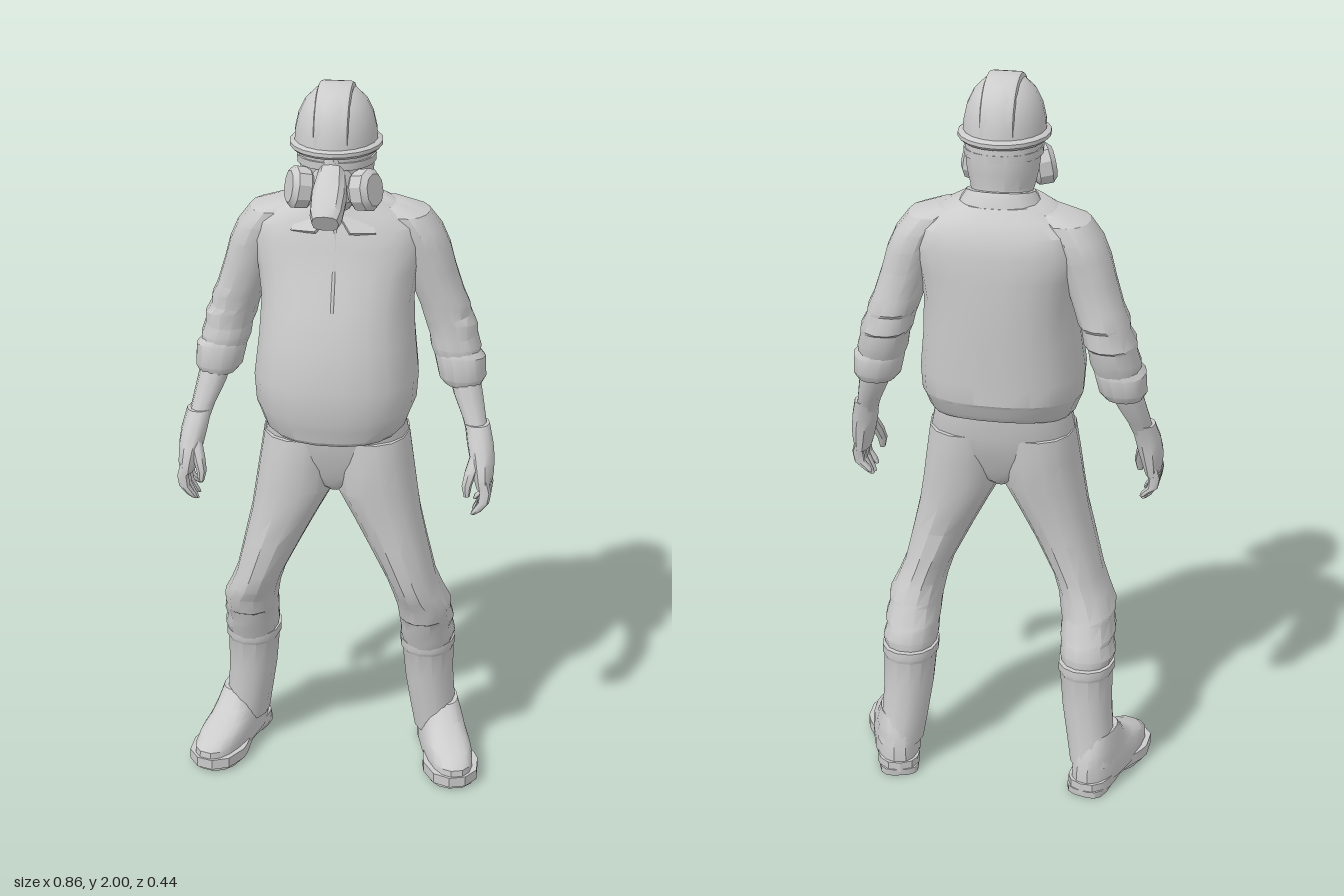
import * as THREE from 'three';
import { toCreasedNormals } from 'three/addons/utils/BufferGeometryUtils.js';

const grey = new THREE.MeshStandardMaterial({ color: 0xcccccc });
grey.name = 'plain grey';

// Closed skin over stacked rings [x, y, z, rx, rz, slope]; slope tips a ring along z.
function loft(rings, { n = 14, power = 2.2, side = 1, crease = 0.55 } = {}) {
  const list = rings[0][1] > rings[rings.length - 1][1] ? [...rings].reverse() : rings;
  const pos = [], idx = [];
  const bend = v => Math.sign(v) * Math.pow(Math.abs(v), 2 / power);
  for (const [x, y, z, rx, rz, slope = 0] of list) {
    for (let j = 0; j < n; j++) {
      const a = (j / n) * Math.PI * 2, dz = rz * bend(Math.sin(a));
      pos.push(side * x + rx * bend(Math.cos(a)), y + slope * dz, z + dz);
    }
  }
  for (let i = 0; i < list.length - 1; i++) {
    for (let j = 0; j < n; j++) {
      const k = (j + 1) % n, a = i * n + j, b = i * n + k;
      idx.push(a, a + n, b, b, a + n, b + n);
    }
  }
  // end caps
  const top = (list.length - 1) * n;
  for (let j = 1; j < n - 1; j++) {
    idx.push(0, j, j + 1);
    idx.push(top, top + j + 1, top + j);
  }
  const g = new THREE.BufferGeometry();
  g.setAttribute('position', new THREE.Float32BufferAttribute(pos, 3));
  g.setIndex(idx);
  return toCreasedNormals(g, crease);
}

function add(parent, name, geometry) {
  const m = new THREE.Mesh(geometry, grey);
  m.name = name;
  parent.add(m);
  return m;
}

function tube(points, radius, sides = 6) {
  const curve = new THREE.CatmullRomCurve3(points.map(p => new THREE.Vector3(...p)));
  return new THREE.TubeGeometry(curve, 6, radius, sides);
}

function buildHead(root) {
  const head = new THREE.Group();
  head.name = 'head';
  root.add(head);
  add(head, 'skull', loft([
    [0, 1.6, -0.05, 0.075, 0.07], [0, 1.69, -0.04, 0.078, 0.08], [0, 1.72, -0.02, 0.085, 0.095],
    [0, 1.76, -0.018, 0.094, 0.104], [0, 1.81, -0.015, 0.1, 0.108], [0, 1.86, -0.01, 0.1, 0.11]]));
  add(head, 'headStrap', loft([[0, 1.795, -0.012, 0.102, 0.11], [0, 1.815, -0.012, 0.103, 0.111]], { n: 18 }));

  // hard hat: dome, brim and raised crest
  add(head, 'helmetDome', loft([
    [0, 1.84, 0, 0.108, 0.125], [0, 1.88, 0, 0.106, 0.122], [0, 1.92, 0, 0.097, 0.112],
    [0, 1.955, 0, 0.08, 0.094], [0, 1.98, 0, 0.055, 0.066], [0, 1.994, 0, 0.025, 0.032]], { n: 20, power: 2 }));
  add(head, 'helmetBrim', loft([
    [0, 1.832, -0.003, 0.112, 0.128], [0, 1.84, -0.003, 0.12, 0.138], [0, 1.85, -0.003, 0.12, 0.138],
    [0, 1.856, -0.003, 0.108, 0.126]], { n: 20, power: 2 }));
  const crest = new THREE.Shape();
  crest.absellipse(0, 1.87, 0.106, 0.12, 0, Math.PI);
  const crestGeo = new THREE.ExtrudeGeometry(crest,
    { depth: 0.07, bevelSize: 0.01, bevelThickness: 0.01, bevelSegments: 2, curveSegments: 14 });
  crestGeo.rotateY(-Math.PI / 2);
  crestGeo.translate(0.035, 0, 0);
  add(head, 'helmetCrest', toCreasedNormals(crestGeo, 0.6));

  // respirator with a drooping snout and two side filters
  add(head, 'maskFace', loft([
    [0, 1.68, 0.045, 0.04, 0.03], [0, 1.71, 0.055, 0.062, 0.045],
    [0, 1.76, 0.055, 0.066, 0.052], [0, 1.8, 0.06, 0.04, 0.042], [0, 1.83, 0.07, 0.018, 0.03]]));
  const snout = add(head, 'maskSnout', loft([
    [0, 0, 0, 0.036, 0.05], [0, 0.07, 0, 0.045, 0.046], [0, 0.13, 0, 0.042, 0.036],
    [0, 0.155, 0, 0.034, 0.026]], { n: 12, power: 2.8 }));
  snout.position.set(0, 1.77, 0.075);
  snout.rotation.x = 2.1;
  for (const s of [1, -1]) {
    const filter = add(head, 'maskFilter', loft([
      [0, -0.03, 0, 0.04, 0.04], [0, -0.018, 0, 0.054, 0.05], [0, 0.016, 0, 0.056, 0.052],
      [0, 0.03, 0, 0.042, 0.04]], { n: 10 }));
    filter.position.set(s * 0.084, 1.74, 0.072);
    filter.rotation.set(0, -s * 0.4, -s * 1.4);
  }
}

function buildJacket(root) {
  const jacket = new THREE.Group();
  jacket.name = 'jacket';
  root.add(jacket);
  add(jacket, 'jacketBody', loft([
    [0, 1.075, -0.015, 0.182, 0.155, -0.18], [0, 1.09, -0.015, 0.195, 0.168, -0.18],
    [0, 1.12, -0.015, 0.206, 0.176, -0.15], [0, 1.14, -0.015, 0.215, 0.184, -0.1],
    [0, 1.21, -0.013, 0.22, 0.187], [0, 1.32, -0.025, 0.208, 0.182], [0, 1.42, -0.04, 0.203, 0.17],
    [0, 1.5, -0.055, 0.215, 0.155], [0, 1.57, -0.065, 0.232, 0.143], [0, 1.62, -0.066, 0.222, 0.132],
    [0, 1.655, -0.063, 0.175, 0.115], [0, 1.685, -0.055, 0.115, 0.098]], { n: 22, power: 2.4 }));
  add(jacket, 'collarStand', loft([
    [0, 1.65, -0.055, 0.125, 0.105, -0.15], [0, 1.69, -0.05, 0.1, 0.095, -0.2],
    [0, 1.705, -0.048, 0.09, 0.088, -0.2]]));
  add(jacket, 'placket', tube([[0.006, 1.63, 0.06], [0.006, 1.56, 0.074], [0.006, 1.5, 0.097], [0.006, 1.42, 0.127]], 0.005, 5));
  for (const s of [1, -1]) {
    // pointed collar flap
    const flap = new THREE.Shape([[0.015, 0.03], [0.09, 0.05], [0.112, -0.002], [0.045, -0.012]]
      .map(([x, y]) => new THREE.Vector2(s * x, y)));
    const m = add(jacket, 'collarFlap', new THREE.ExtrudeGeometry(flap, { depth: 0.012, bevelEnabled: false }));
    m.position.set(0, 1.632, 0.07);
    m.rotation.set(-0.75, s * 0.25, 0);

    // sleeve with elbow folds and a rolled cuff
    add(jacket, 'sleeve', loft([
      [0.13, 1.668, -0.067, 0.04, 0.06], [0.172, 1.645, -0.07, 0.066, 0.082],
      [0.205, 1.6, -0.074, 0.067, 0.09], [0.225, 1.55, -0.078, 0.069, 0.087],
      [0.243, 1.49, -0.08, 0.067, 0.081], [0.266, 1.42, -0.086, 0.066, 0.078],
      [0.28, 1.385, -0.09, 0.068, 0.08, 0.12], [0.286, 1.362, -0.09, 0.065, 0.075, -0.08],
      [0.298, 1.33, -0.092, 0.07, 0.078, 0.15], [0.304, 1.305, -0.09, 0.065, 0.071, -0.1],
      [0.312, 1.27, -0.085, 0.068, 0.071], [0.318, 1.235, -0.082, 0.06, 0.06]], { side: s }));
    add(jacket, 'cuff', loft([
      [0.316, 1.26, -0.082, 0.06, 0.06, 0.12], [0.324, 1.24, -0.08, 0.069, 0.066, 0.12],
      [0.332, 1.185, -0.076, 0.064, 0.063], [0.335, 1.165, -0.074, 0.05, 0.052]], { side: s }));
  }
}

function buildArm(root, s) {
  const arm = new THREE.Group();
  arm.name = s > 0 ? 'leftForearm' : 'rightForearm';
  root.add(arm);
  add(arm, 'forearm', loft([
    [0.335, 1.2, -0.07, 0.042, 0.044], [0.35, 1.14, -0.055, 0.04, 0.043],
    [0.37, 1.08, -0.03, 0.032, 0.036], [0.383, 1.03, -0.01, 0.028, 0.032]], { n: 10, side: s, crease: 0.75 }));
  add(arm, 'palm', loft([
    [0.379, 1.07, -0.022, 0.034, 0.038], [0.39, 1.02, 0, 0.036, 0.043],
    [0.397, 0.98, 0.012, 0.034, 0.051], [0.402, 0.94, 0.024, 0.028, 0.056],
    [0.404, 0.91, 0.027, 0.02, 0.054]], { n: 10, side: s, crease: 0.75 }));
  for (let i = 0; i < 4; i++) {
    const z = -0.014 + i * 0.026, low = [0.86, 0.843, 0.838, 0.85][i];
    add(arm, 'finger', loft([
      [0.403, 0.94, z, 0.016, 0.014], [0.412, 0.905, z + 0.004, 0.016, 0.0145],
      [0.408, 0.875, z + 0.006, 0.015, 0.0135], [0.39, low, z + 0.004, 0.013, 0.012],
      [0.38, low - 0.012, z + 0.002, 0.007, 0.007]], { n: 7, side: s, crease: 0.9 }));
  }
  add(arm, 'thumb', loft([
    [0.385, 1.0, 0.025, 0.018, 0.02], [0.37, 0.955, 0.05, 0.017, 0.02],
    [0.361, 0.92, 0.063, 0.014, 0.016], [0.362, 0.89, 0.068, 0.008, 0.009]], { n: 7, side: s, crease: 0.9 }));
}

function buildLeg(root, s) {
  const leg = new THREE.Group();
  leg.name = s > 0 ? 'leftLeg' : 'rightLeg';
  root.add(leg);
  add(leg, 'trouserLeg', loft([
    [0.094, 1.04, -0.02, 0.104, 0.13], [0.103, 0.96, -0.015, 0.107, 0.13],
    [0.112, 0.88, -0.01, 0.11, 0.122], [0.14, 0.8, -0.007, 0.094, 0.115],
    [0.17, 0.72, -0.004, 0.082, 0.11], [0.21, 0.61, -0.006, 0.067, 0.108],
    [0.228, 0.56, -0.015, 0.069, 0.106], [0.243, 0.515, -0.032, 0.076, 0.104, 0.1],
    [0.244, 0.487, -0.04, 0.072, 0.1, -0.08], [0.248, 0.455, -0.06, 0.077, 0.098, 0.12],
    [0.247, 0.43, -0.07, 0.072, 0.093, -0.05], [0.251, 0.4, -0.08, 0.077, 0.093],
    [0.25, 0.365, -0.085, 0.068, 0.085]], { side: s }));
  add(leg, 'bootShaft', loft([
    [0.25, 0.378, -0.092, 0.078, 0.094], [0.25, 0.355, -0.093, 0.078, 0.094],
    [0.25, 0.345, -0.094, 0.073, 0.089], [0.255, 0.25, -0.101, 0.069, 0.085],
    [0.265, 0.16, -0.108, 0.065, 0.083], [0.277, 0.08, -0.118, 0.064, 0.085]], { side: s }));

  // foot turned outwards, heel at the local origin
  const foot = new THREE.Group();
  foot.name = 'bootFoot';
  foot.position.set(s * 0.277, 0, -0.15);
  foot.rotation.y = s * 0.29;
  leg.add(foot);
  add(foot, 'bootUpper', loft([
    [0, 0.03, 0.115, 0.067, 0.177], [0, 0.06, 0.114, 0.067, 0.175], [0, 0.083, 0.1, 0.064, 0.158],
    [0, 0.1, 0.073, 0.06, 0.127], [0, 0.125, 0.05, 0.057, 0.098], [0, 0.17, 0.04, 0.046, 0.07]],
    { n: 18, power: 2.5 }));
  const sole = new THREE.Shape();
  sole.moveTo(0, 0.068);
  sole.bezierCurveTo(0.07, 0.068, 0.062, -0.01, 0.055, -0.07);
  sole.bezierCurveTo(0.053, -0.12, 0.078, -0.15, 0.078, -0.2);
  sole.bezierCurveTo(0.078, -0.33, -0.078, -0.33, -0.078, -0.2);
  sole.bezierCurveTo(-0.078, -0.15, -0.053, -0.12, -0.055, -0.07);
  sole.bezierCurveTo(-0.062, -0.01, -0.07, 0.068, 0, 0.068);
  const soleGeo = new THREE.ExtrudeGeometry(sole, { depth: 0.03, bevelEnabled: false, curveSegments: 5 });
  soleGeo.rotateX(-Math.PI / 2);
  soleGeo.translate(0, 0.012, 0);
  add(foot, 'sole', toCreasedNormals(soleGeo, 0.5));
  add(foot, 'heel', loft([[0, 0, -0.01, 0.055, 0.056], [0, 0.02, -0.01, 0.056, 0.058]], { power: 3 }));
  add(foot, 'treadFront', loft([[0, 0, 0.185, 0.068, 0.098], [0, 0.02, 0.185, 0.07, 0.1]], { power: 2.4 }));
}

export function createModel() {
  const root = new THREE.Group();
  root.name = 'worker';
  buildHead(root);
  buildJacket(root);
  add(root, 'trouserSeat', loft([
    [0, 0.875, -0.015, 0.025, 0.06], [0, 0.895, -0.015, 0.06, 0.085], [0, 0.93, -0.016, 0.12, 0.1],
    [0, 0.98, -0.018, 0.185, 0.118], [0, 1.04, -0.02, 0.195, 0.135], [0, 1.11, -0.02, 0.18, 0.142]],
    { n: 18, power: 2.4 }));
  for (const s of [1, -1]) {
    buildArm(root, s);
    buildLeg(root, s);
  }
  return root;
}
